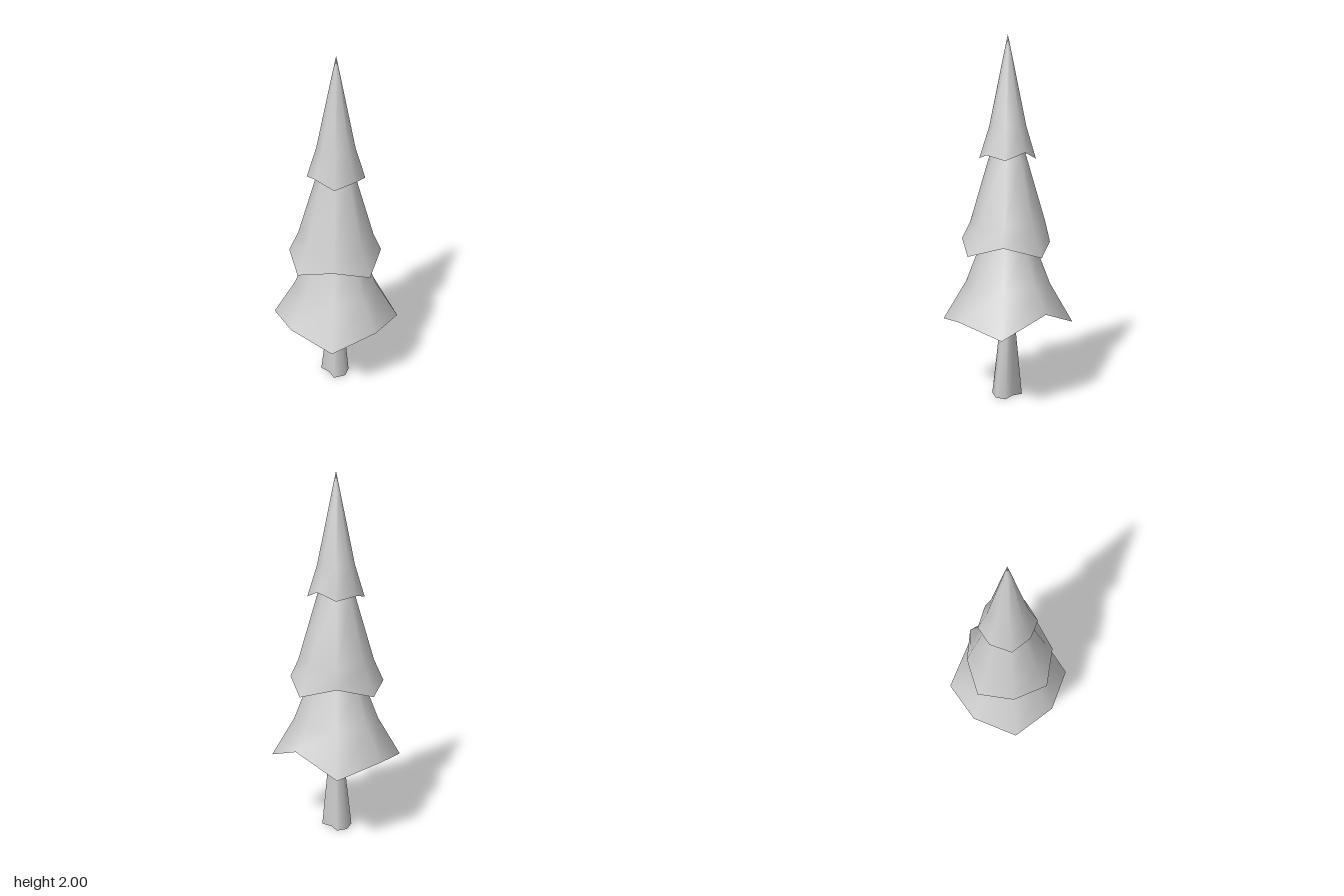
import * as THREE from 'three';

const SIDES = 8;
const CZ = -0.013; // the trunk axis sits slightly behind the centre

// Regular octagonal ring of [x, y, z] points, starting at +z and turning towards +x
function ring(radius, y) {
  return Array.from({ length: SIDES }, (_, i) => {
    const a = (i / SIDES) * Math.PI * 2;
    return [radius * Math.sin(a), y, CZ + radius * Math.cos(a)];
  });
}

// Smooth open skin through rings listed from bottom to top
function loft(name, rings, material) {
  const index = [];
  for (let r = 0; r < rings.length - 1; r++) {
    for (let i = 0; i < SIDES; i++) {
      const j = (i + 1) % SIDES;
      const a = r * SIDES + i, b = r * SIDES + j;
      index.push(a, b, b + SIDES, a, b + SIDES, a + SIDES);
    }
  }
  const geometry = new THREE.BufferGeometry();
  geometry.setAttribute('position', new THREE.Float32BufferAttribute(rings.flat(2), 3));
  geometry.setIndex(index);
  geometry.computeVertexNormals();
  const mesh = new THREE.Mesh(geometry, material);
  mesh.name = name;
  return mesh;
}

// Each tier: an uneven hem (front, then turning towards +x) and [radius, y] rings above it
const TIERS = [
  {
    name: 'lowerBranches',
    hem: [[0, 0.495, 0.325], [0.258, 0.44, 0.245], [0.338, 0.495, CZ], [0.258, 0.44, -0.27],
      [0, 0.545, -0.325], [-0.256, 0.44, -0.27], [-0.338, 0.49, CZ], [-0.256, 0.44, 0.245]],
    rings: [[0.235, 0.66], [0.148, 0.885], [0.04, 1.15], [0.001, 1.22]],
  },
  {
    name: 'middleBranches',
    hem: [[0, 0.845, 0.265], [0.18, 0.905, 0.167], [0.278, 0.845, CZ], [0.18, 0.905, -0.19],
      [0, 0.845, -0.29], [-0.165, 0.895, -0.177], [-0.278, 0.845, CZ], [-0.186, 0.88, 0.172]],
    rings: [[0.208, 1.0], [0.106, 1.345], [0.03, 1.58], [0.001, 1.66]],
  },
  {
    name: 'topBranches',
    hem: [[0, 1.385, 0.132], [0.11, 1.35, 0.097], [0.148, 1.375, CZ], [0.11, 1.35, -0.122],
      [0, 1.39, -0.156], [-0.107, 1.35, -0.122], [-0.148, 1.37, CZ], [-0.107, 1.35, 0.097]],
    rings: [[0.101, 1.52], [0.022, 1.9], [0.0005, 2.0]],
  },
];

export function createModel() {
  const tree = new THREE.Group();
  tree.name = 'tree';
  const material = new THREE.MeshStandardMaterial({ color: 0xcccccc, side: THREE.DoubleSide });

  // Trunk: uneven lobed foot tapering up into the branches
  const foot = [[0, 0, 0.04], [0.06, 0, 0.053], [0.088, 0, CZ], [0.06, 0, -0.068],
    [0, 0, -0.052], [-0.06, 0, -0.068], [-0.088, 0, CZ], [-0.06, 0, 0.053]];
  tree.add(loft('trunk', [foot, ring(0.036, 0.48), ring(0.03, 0.85)], material));

  // Three overlapping skirts of branches
  for (const { name, hem, rings } of TIERS) {
    tree.add(loft(name, [hem, ...rings.map(([r, y]) => ring(r, y))], material));
  }
  return tree;
}
